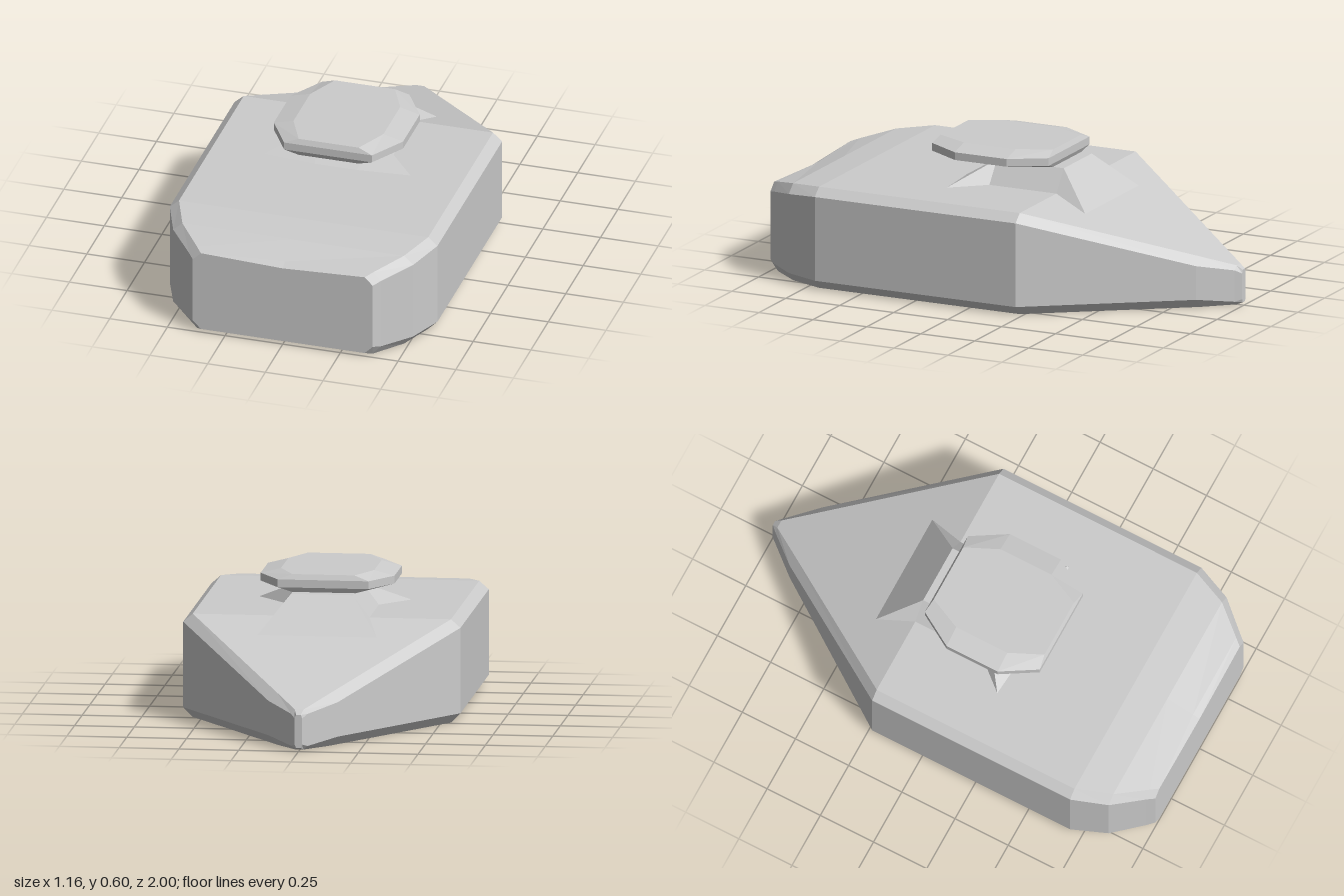
import * as THREE from 'three';

const material = new THREE.MeshStandardMaterial({ color: 0xcccccc, flatShading: true });

// Skins a stack of rings; each ring runs counter-clockwise seen from the first ring's side.
function loft(name, rings) {
  const out = [];
  const tri = (a, b, c) => out.push(...a, ...b, ...c);
  for (let r = 0; r < rings.length - 1; r++) {
    const a = rings[r], b = rings[r + 1], n = a.length;
    for (let i = 0; i < n; i++) {
      const j = (i + 1) % n;
      tri(a[i], b[i], a[j]);
      tri(a[j], b[i], b[j]);
    }
  }
  const cap = (ring, flip) => {
    const mid = [0, 1, 2].map(k => ring.reduce((s, p) => s + p[k], 0) / ring.length);
    ring.forEach((p, i) => {
      const q = ring[(i + 1) % ring.length];
      flip ? tri(mid, q, p) : tri(mid, p, q);
    });
  };
  cap(rings[0], false);
  cap(rings[rings.length - 1], true);
  const geometry = new THREE.BufferGeometry();
  geometry.setAttribute('position', new THREE.Float32BufferAttribute(out, 3));
  geometry.computeVertexNormals();
  const mesh = new THREE.Mesh(geometry, material);
  mesh.name = name;
  return mesh;
}

// Closes a half ring (+x side) with its mirror image.
const mirrorRing = half => [...half, ...half.map(([x, y, z]) => [-x, y, z]).reverse()];

// Chamfered hull cross-section.
function hullSection([z, outer, inner, bottom, low, shoulder, top, centre]) {
  const half = [[inner, bottom, z], [outer, low, z], [outer, shoulder, z], [inner, top, z]];
  const ring = mirrorRing(half);
  ring.splice(4, 0, [0, centre, z]);
  return ring;
}

export function createModel() {
  const model = new THREE.Group();
  model.name = 'model';

  // Hull: z, outer and inner half width, bottom, low edge, shoulder, top, top centre
  model.add(loft('hull', [
    [1.0, 0.39, 0.355, 0.015, 0.05, 0.34, 0.375, 0.36],
    [0.97, 0.415, 0.38, 0, 0.04, 0.35, 0.385, 0.377],
    [0.85, 0.52, 0.48, 0, 0.04, 0.38, 0.417, 0.417],
    [0.70, 0.58, 0.54, 0, 0.04, 0.40, 0.435, 0.435],
    [-0.23, 0.58, 0.54, 0, 0.04, 0.40, 0.435, 0.435],
    [-0.85, 0.145, 0.105, 0, 0.04, 0.185, 0.217, 0.217],
    [-0.975, 0.035, 0.018, 0.005, 0.02, 0.155, 0.173, 0.173],
    [-1.0, 0.016, 0.01, 0.015, 0.03, 0.14, 0.155, 0.155],
  ].map(hullSection)));

  // Neck: narrow top flaring to four pointed feet
  const front = [0.13, 0.527, 0.08], rear = [0.13, 0.527, -0.23];
  model.add(loft('neck', [
    mirrorRing([front, front, front, rear, rear, rear]),
    mirrorRing([
      [0.09, 0.434, 0.24], [0.32, 0.434, 0.22], [0.2, 0.434, 0.08],
      [0.2, 0.434, -0.23], [0.25, 0.378, -0.39], [0.09, 0.378, -0.39],
    ]),
  ]));

  // Top plate: bevelled octagon
  const plateRing = (y, endX, sideX, frontZ, rearZ) => mirrorRing([
    [endX, y, frontZ], [sideX, y, 0.2], [sideX, y, -0.04], [endX, y, rearZ],
  ]);
  model.add(loft('topPlate', [
    plateRing(0.602, 0.13, 0.195, 0.34, -0.18),
    plateRing(0.58, 0.19, 0.28, 0.35, -0.19),
    plateRing(0.547, 0.19, 0.28, 0.35, -0.19),
    plateRing(0.526, 0.13, 0.195, 0.34, -0.18),
  ]));

  return model;
}
